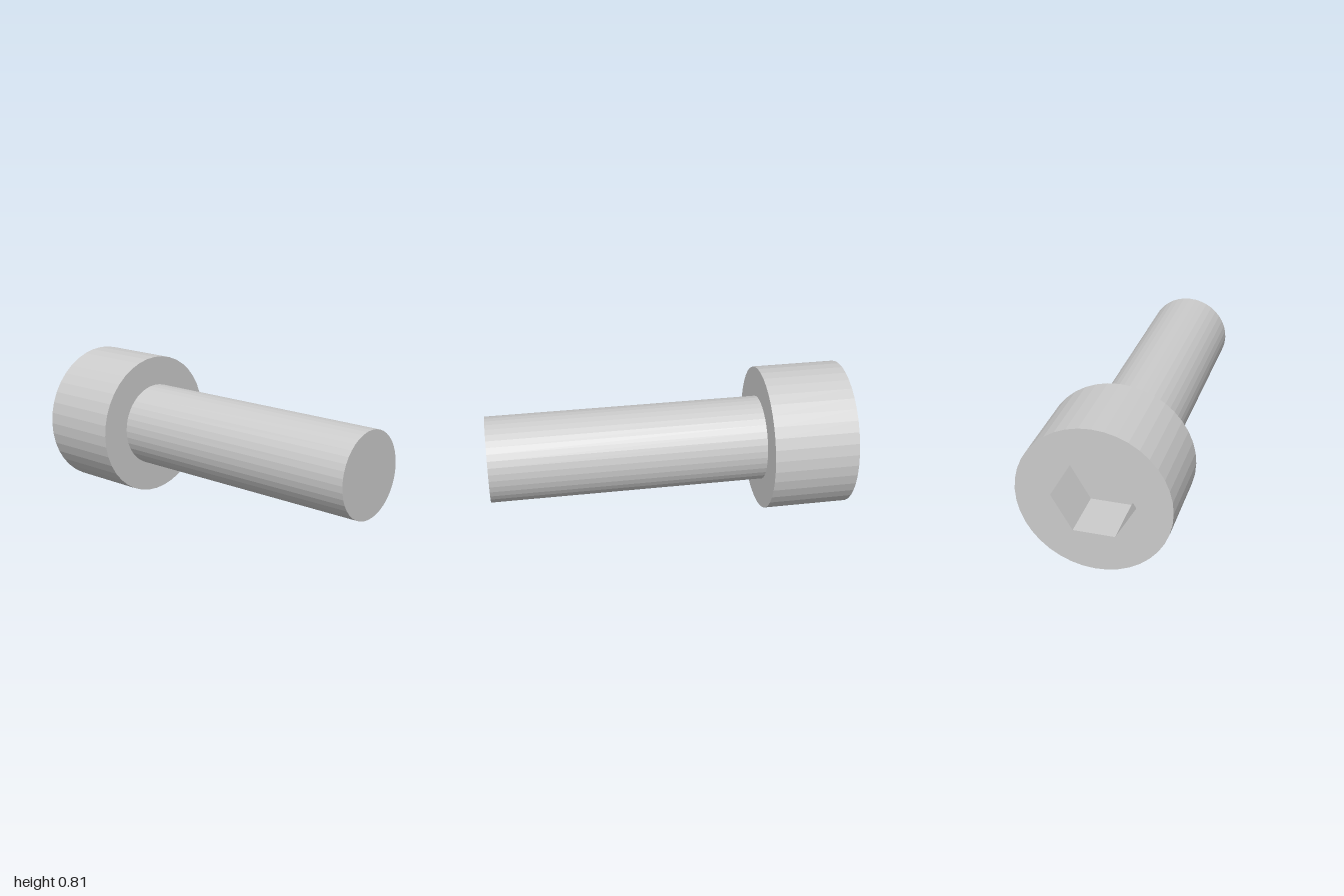
import * as THREE from 'three';

const SIDES = 40;
const HEAD_R = 0.405, SHANK_R = 0.238, SOCKET_R = 0.22;
const BACK = -1, SHOULDER = -0.53, TIP = 1, SOCKET_DEPTH = 0.288;

export function createModel() {
  const group = new THREE.Group();
  group.name = 'socketHeadBolt';
  group.position.y = HEAD_R;
  const material = new THREE.MeshStandardMaterial({ color: 0xcccccc, flatShading: true });

  const add = (name, geometry) => {
    const faceted = geometry.index ? geometry.toNonIndexed() : geometry;
    faceted.computeVertexNormals();
    const mesh = new THREE.Mesh(faceted, material);
    mesh.name = name;
    group.add(mesh);
  };

  // Turned parts: profile of [radius, z] pairs spun around the z axis
  const turn = (profile) => new THREE.LatheGeometry(
    profile.map(([r, z]) => new THREE.Vector2(r, z)), SIDES).rotateX(Math.PI / 2);

  // Head side wall and the shoulder under it
  add('headWall', turn([[HEAD_R, BACK], [HEAD_R, SHOULDER], [SHANK_R, SHOULDER]]));

  // Shank with its flat tip
  add('shank', turn([[SHANK_R, SHOULDER], [SHANK_R, TIP], [0, TIP]]));

  // Back face of the head with a hexagonal opening
  const face = new THREE.Shape().absarc(0, 0, HEAD_R, 0, Math.PI * 2);
  const corners = Array.from({ length: 6 }, (_, i) => new THREE.Vector2(
    SOCKET_R * Math.cos(i * Math.PI / 3), SOCKET_R * Math.sin(i * Math.PI / 3)));
  face.holes.push(new THREE.Path(corners));
  add('headFace', new THREE.ShapeGeometry(face, SIDES / 2)
    .rotateY(Math.PI).translate(0, 0, BACK));

  // Socket walls, mirrored so that they face inward
  add('socketWalls', new THREE.CylinderGeometry(
    SOCKET_R, SOCKET_R, SOCKET_DEPTH, 6, 1, true, Math.PI / 2)
    .scale(-1, 1, 1).rotateX(Math.PI / 2).translate(0, 0, BACK + SOCKET_DEPTH / 2));

  // Socket floor
  add('socketFloor', new THREE.CircleGeometry(SOCKET_R, 6)
    .rotateY(Math.PI).translate(0, 0, BACK + SOCKET_DEPTH));

  return group;
}
